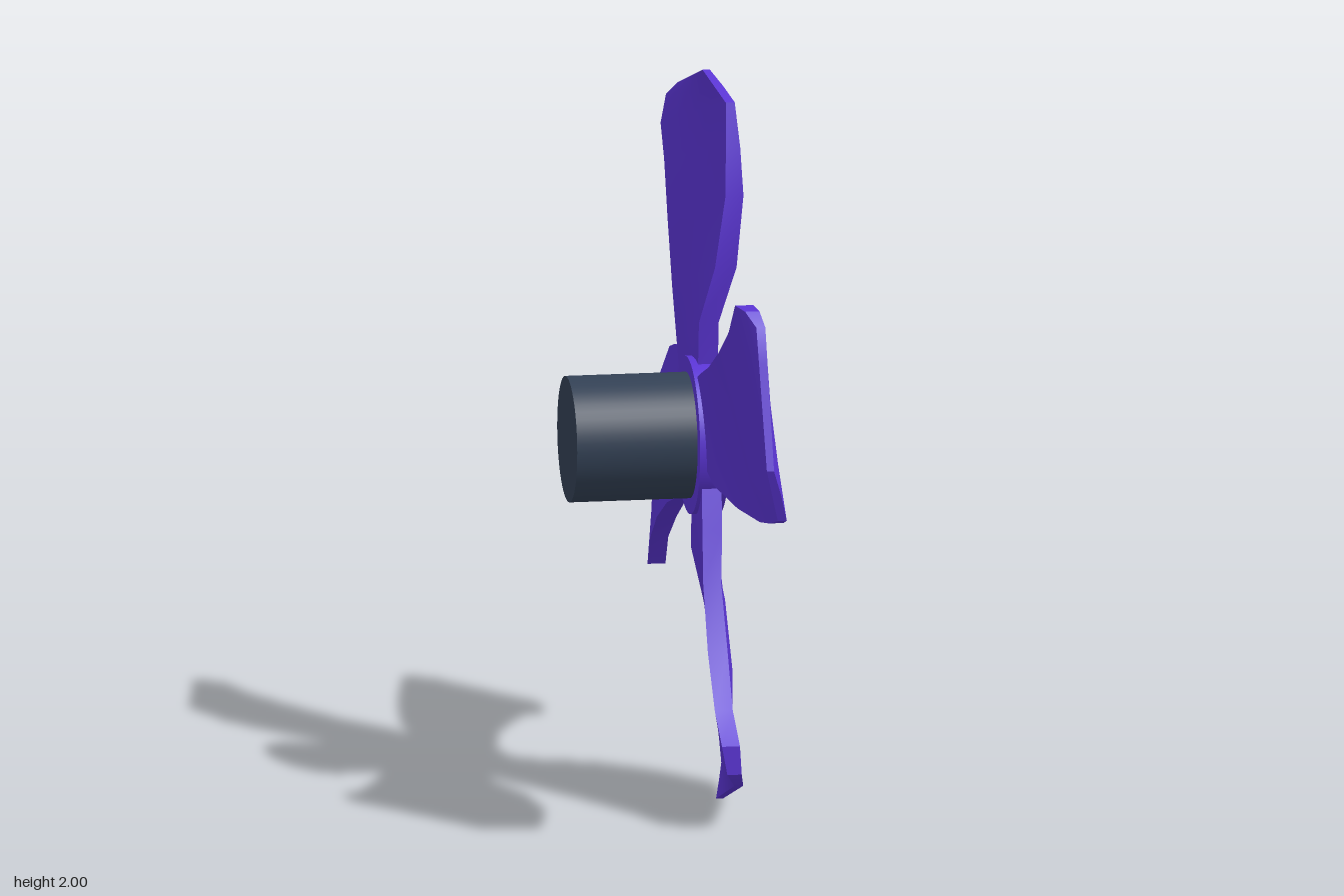
import * as THREE from 'three';
import { toCreasedNormals } from 'three/addons/utils/BufferGeometryUtils.js';

// Blade rows from root to tip, each as [across, radial, front depth, back depth]
// for the leading edge and the trailing edge.
const ROWS = [
  [[-0.05, 0.15, -0.005, -0.06], [0.18, 0.09, -0.015, -0.07]],
  [[-0.07, 0.33, -0.005, -0.06], [0.225, 0.22, -0.02, -0.075]],
  [[-0.10, 0.49, 0.04, -0.02], [0.27, 0.36, -0.03, -0.08]],
  [[-0.095, 0.69, 0.06, 0.01], [0.35, 0.535, -0.025, -0.08]],
  [[-0.07, 0.82, 0.055, 0.015], [0.44, 0.68, -0.025, -0.075]],
  [[-0.037, 0.94, 0.045, 0.02], [0.533, 0.76, -0.02, -0.07]],
  [[0.04, 0.97, 0.025, 0.0], [0.533, 0.84, -0.015, -0.055]],
  [[0.117, 1.0, 0.0, -0.02], [0.496, 0.88, -0.005, -0.03]],
];
const COLUMNS = 4;

// Twisted blade: a closed ring of points per row, stitched together and capped
function bladeGeometry() {
  const positions = [];
  const indices = [];
  const ring = 2 * (COLUMNS + 1);
  for (const [lead, trail] of ROWS) {
    for (let k = 0; k < ring; k++) {
      const front = k <= COLUMNS;
      const t = (front ? k : ring - 1 - k) / COLUMNS;
      const p = lead.map((v, i) => v + (trail[i] - v) * t);
      positions.push(p[0], p[1], front ? p[2] : p[3]);
    }
  }
  for (let r = 0; r < ROWS.length - 1; r++) {
    for (let k = 0; k < ring; k++) {
      const a = r * ring + k;
      const b = r * ring + (k + 1) % ring;
      indices.push(a, b, b + ring, a, b + ring, a + ring);
    }
  }
  const last = (ROWS.length - 1) * ring;
  for (let j = 0; j < COLUMNS; j++) {
    const a = j, b = j + 1, c = ring - 2 - j, d = ring - 1 - j;
    indices.push(last + a, last + b, last + c, last + a, last + c, last + d);
    indices.push(a, c, b, a, d, c);
  }
  const geometry = new THREE.BufferGeometry();
  geometry.setAttribute('position', new THREE.Float32BufferAttribute(positions, 3));
  geometry.setIndex(indices);
  return toCreasedNormals(geometry, 0.6);
}

// Disc or drum along the spin axis between two depths
function drum(name, radius, back, front, material) {
  const geometry = new THREE.CylinderGeometry(radius, radius, front - back, 48);
  geometry.rotateX(Math.PI / 2);
  geometry.translate(0, 0, (front + back) / 2);
  const mesh = new THREE.Mesh(geometry, material);
  mesh.name = name;
  return mesh;
}

export function createModel() {
  const purple = new THREE.MeshStandardMaterial({ color: 0x5b35d5 });
  const slate = new THREE.MeshStandardMaterial({ color: 0x334155 });

  const fan = new THREE.Group();
  fan.name = 'fan';
  fan.add(drum('hub', 0.218, -0.08, 0, purple));
  fan.add(drum('motor', 0.174, -0.415, -0.07, slate));

  // Four identical blades around the hub
  const geometry = bladeGeometry();
  for (let i = 0; i < 4; i++) {
    const blade = new THREE.Mesh(geometry, purple);
    blade.name = 'blade' + (i + 1);
    blade.rotation.z = -i * Math.PI / 2;
    fan.add(blade);
  }

  // Spin axis is level and turned toward the model's left
  fan.rotation.y = 0.85;
  fan.position.y = 1;

  const model = new THREE.Group();
  model.name = 'propeller';
  model.add(fan);
  return model;
}
